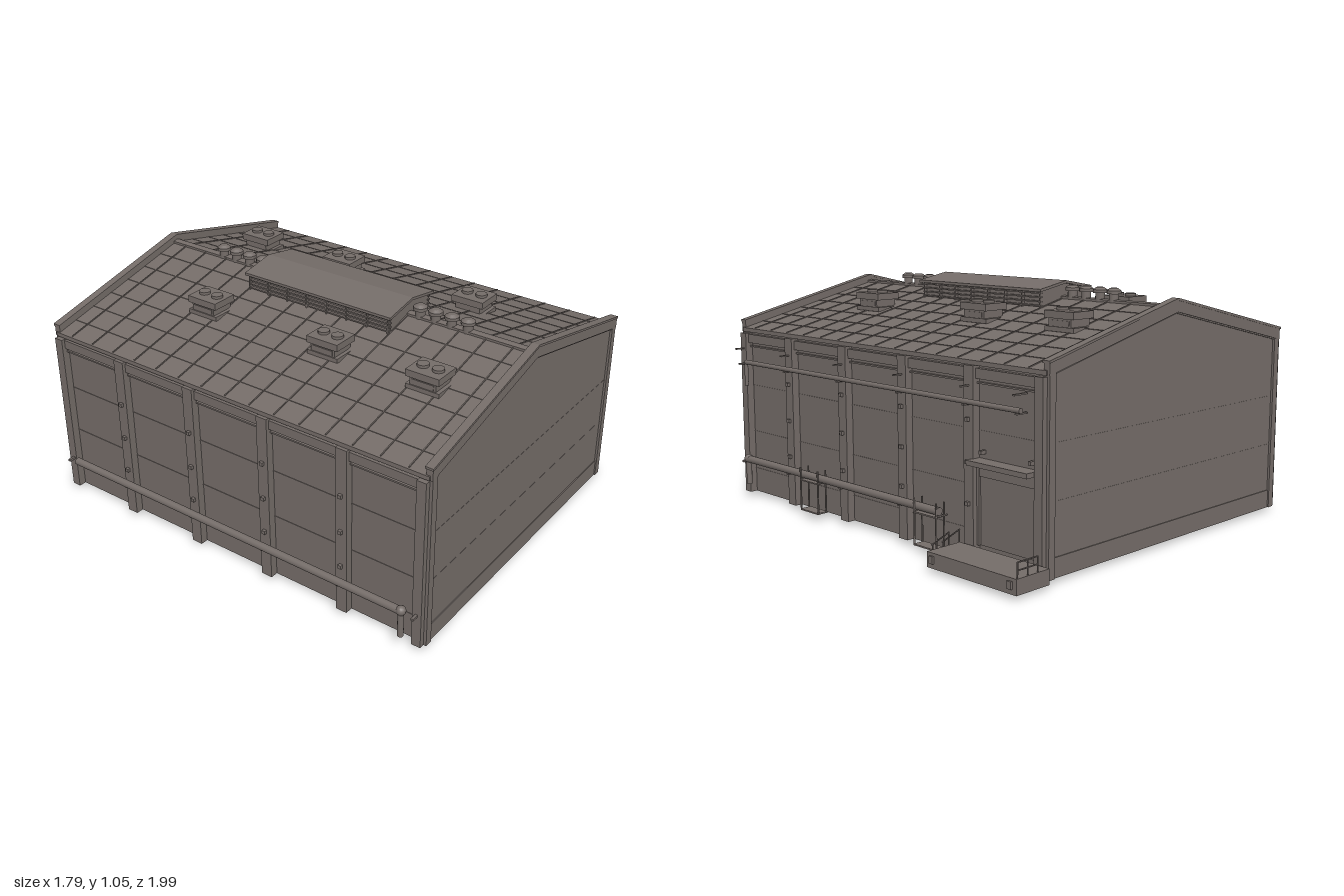
import * as THREE from 'three';

const CX = -0.07;        // ridge line
const SLOPE = 0.232;     // roof pitch
const Z0 = -0.96, Z1 = 0.975;

export function createModel() {
  const model = new THREE.Group();
  model.name = 'industrialHall';
  const mat = new THREE.MeshStandardMaterial({ color: 0x746c68, side: THREE.DoubleSide });
  mat.name = 'warm grey';

  const add = (name, geo, x = 0, y = 0, z = 0) => {
    const m = new THREE.Mesh(geo, mat);
    m.name = name;
    m.position.set(x, y, z);
    model.add(m);
    return m;
  };
  // box from its limits
  const box = (name, x0, x1, y0, y1, z0, z1) =>
    add(name, new THREE.BoxGeometry(Math.abs(x1 - x0), y1 - y0, Math.abs(z1 - z0)),
      (x0 + x1) / 2, (y0 + y1) / 2, (z0 + z1) / 2);
  const cyl = (name, r0, r1, h, x, y, z, n = 12) => add(name, new THREE.CylinderGeometry(r0, r1, h, n), x, y, z);
  // straight rod between two points
  const rod = (name, a, b, r, n = 6) => {
    const p = new THREE.Vector3(...a), d = new THREE.Vector3(...b).sub(p);
    const m = add(name, new THREE.CylinderGeometry(r, r, d.length(), n));
    m.position.copy(p).addScaledVector(d, 0.5);
    m.quaternion.setFromUnitVectors(new THREE.Vector3(0, 1, 0), d.normalize());
    return m;
  };
  const extrude = (name, pts, z0, z1) => add(name, new THREE.ExtrudeGeometry(
    new THREE.Shape(pts.map(p => new THREE.Vector2(...p))), { depth: z1 - z0, bevelEnabled: false }), 0, 0, z0);
  // roof-shaped band: ridge height, half width, thickness
  const chevron = (name, ridge, hw, t, z0, z1, slope = SLOPE) => {
    const e = ridge - hw * slope;
    return extrude(name, [[CX - hw, e - t], [CX, ridge - t], [CX + hw, e - t], [CX + hw, e], [CX, ridge], [CX - hw, e]], z0, z1);
  };
  const roofY = x => 0.98 - SLOPE * Math.abs(x - CX);
  const sideX = (s, d) => CX + s * (0.75 + d);
  const columns = [0.595, 0.21, -0.18, -0.57];
  const seams = [0.13, 0.31, 0.53];

  // gable ends with coping, plinth, corner columns and panel seams
  for (const [f, out] of [[Z1, 1], [Z0, -1]]) {
    const span = (a, b) => [Math.min(f + out * a, f + out * b), Math.max(f + out * a, f + out * b)];
    const e = 0.965 - 0.75 * SLOPE;
    extrude('gableWall', [[CX - 0.74, 0.02], [CX + 0.74, 0.02], [CX + 0.74, e], [CX, 0.965], [CX - 0.74, e]], ...span(-0.02, 0));
    chevron('gableCoping', 1.012, 0.757, 0.052, ...span(-0.018, 0.011));
    chevron('copingCap', 1.016, 0.76, 0.01, ...span(-0.022, 0.014));
    chevron('copingTrim', 0.962, 0.74, 0.008, ...span(0, 0.006));
    box('gablePlinth', CX - 0.72, CX + 0.72, 0.02, 0.10, ...span(0, 0.004));
    for (const y of seams.slice(1)) box('gableSeam', CX - 0.72, CX + 0.72, y, y + 0.004, ...span(0, 0.001));
    for (const s of [-1, 1]) {
      box('cornerColumn', sideX(s, -0.03), sideX(s, 0.004), 0.02, 0.80, ...span(-0.045, 0.01));
      box('cornerPilaster', sideX(s, -0.01), sideX(s, 0.027), 0.02, 0.78, ...span(-0.045, -0.003));
    }
  }

  // side walls, pilasters, bolts and eave beams
  for (const s of [-1, 1]) {
    box('sideWall', sideX(s, -0.03), sideX(s, -0.008), 0.02, 0.80, Z0, Z1);
    box('eaveBeam', sideX(s, -0.01), sideX(s, 0.012), 0.735, 0.775, Z0 + 0.03, Z1 - 0.03);
    box('eaveRail', sideX(s, -0.01), sideX(s, 0.004), 0.715, 0.722, Z0 + 0.03, Z1 - 0.03);
    for (const y of seams) box('sideSeam', sideX(s, -0.009), sideX(s, -0.006), y, y + 0.004, Z0, Z1);
    for (const z of columns) {
      box('pilaster', sideX(s, -0.01), sideX(s, 0.027), 0.02, 0.785, z - 0.026, z + 0.026);
      for (const y of [0.245, 0.41, 0.577])
        box('pilasterBolt', sideX(s, 0.02), sideX(s, 0.04), y - 0.008, y + 0.008, z - 0.008, z + 0.008);
    }
  }

  // roof with raised panel seams and ridge cap
  chevron('roof', 0.98, 0.762, 0.018, Z0, Z1);
  for (let z = -0.87; z < 0.95; z += 0.125) chevron('roofSeam', 0.984, 0.755, 0.005, z, z + 0.005);
  for (const s of [-1, 1])
    for (let i = 1; i < 7; i++) {
      const x = CX + s * i * 0.11;
      box('roofLap', x - 0.002, x + 0.002, roofY(x) - 0.004, roofY(x) + 0.002, Z0, Z1);
    }
  chevron('ridgeCap', 0.99, 0.018, 0.012, Z0, Z1);

  // ridge monitor with louvred sides
  box('monitorBody', CX - 0.14, CX + 0.14, 0.93, 1.02, -0.36, 0.38);
  chevron('monitorRoof', 1.055, 0.165, 0.012, -0.375, 0.395, 0.18);
  extrude('monitorGable', [[CX - 0.14, 1.01], [CX + 0.14, 1.01], [CX + 0.14, 1.02], [CX, 1.045], [CX - 0.14, 1.02]], -0.36, 0.38);
  for (const s of [-1, 1]) {
    for (let i = 0; i < 4; i++)
      box('monitorLouvre', CX + s * 0.138, CX + s * 0.152, 0.95 + i * 0.018, 0.956 + i * 0.018, -0.365, 0.385);
    for (let i = 0; i < 8; i++) {
      const z = -0.36 + i * 0.105;
      box('monitorPost', CX + s * 0.138, CX + s * 0.155, 0.94, 1.022, z - 0.003, z + 0.003);
    }
  }

  // round ridge ventilators
  for (const z of [0.665, 0.588, 0.51, 0.435, -0.41, -0.488, -0.565, -0.64]) {
    cyl('ventStem', 0.021, 0.021, 0.05, CX, 0.992, z);
    cyl('ventCap', 0.031, 0.031, 0.014, CX, 1.02, z);
    cyl('ventTop', 0.016, 0.031, 0.01, CX, 1.032, z);
  }

  // rooftop ventilation units
  const units = [[0.268, -0.69], [0.268, -0.205], [0.268, 0.495], [-0.412, -0.42], [-0.412, 0.225], [-0.412, 0.705]];
  for (const [x, z] of units) {
    const s = Math.sign(x - CX);
    box('unitBase', x - 0.055, x + 0.055, 0.88, 0.945, z - 0.06, z + 0.06);
    box('unitHood', x - 0.062, x + 0.062, 0.942, 0.972, z - 0.077, z + 0.077);
    box('unitCurb', x - 0.06, x + 0.06 , 0.89, roofY(x) + 0.008, z - 0.077, z + 0.077);
    for (const dz of [-0.035, 0.035]) cyl('unitFan', 0.025, 0.025, 0.012, x, 0.978, z + dz);
    box('unitGrille', x + s * 0.055, x + s * 0.058, 0.915, 0.935, z - 0.05, z + 0.05);
  }

  // upper pipe on the left wall, with brackets
  const upX = 0.729;
  rod('upperPipe', [upX, 0.65, 0.9], [upX, 0.65, -0.87], 0.011, 10);
  rod('upperPipeDrop', [upX, 0.655, 0.9], [upX, 0.54, 0.9], 0.009, 10);
  for (const z of [0.95, ...columns, -0.85]) {
    box('pipeBracket', 0.68, 0.75, 0.705, 0.711, z - 0.006, z + 0.006);
    box('pipeArm', 0.68, 0.735, 0.633, 0.639, z - 0.006, z + 0.006);
  }

  // lower pipes along both walls, with end drops and brackets
  for (const [x, wall, end] of [[0.732, 0.70, -0.43], [-0.878, -0.84, -0.87]]) {
    rod('lowerPipe', [x, 0.19, 0.9], [x, 0.19, end], 0.017, 12);
    rod('lowerPipeDrop', [x, 0.19, 0.9], [x, 0.07, 0.9], 0.013, 12);
    add('pipeElbow', new THREE.SphereGeometry(0.021, 12, 8), x, 0.192, 0.9);
    for (const z of [0.95, ...columns, -0.93].filter(z => z > end - 0.1))
      box('lowerBracket', wall, x, 0.165, 0.175, z - 0.006, z + 0.006);
  }

  // small crossing frames over the lower pipe
  for (const [za, zb] of [[0.34, 0.465], [-0.43, -0.30]]) {
    for (const x of [0.708, 0.75])
      for (const z of [za, zb]) rod('framePost', [x, 0.03, z], [x, 0.225, z], 0.004);
    for (const z of [za, zb]) rod('frameTie', [0.69, 0.17, z], [0.75, 0.17, z], 0.004);
    box('frameDeck', 0.70, 0.755, 0.165, 0.171, za, zb);
    box('frameStep', 0.70, 0.755, 0.03, 0.036, za, zb);
  }

  // loading door with canopy and lamps
  box('door', 0.67, 0.678, 0.08, 0.36, -0.895, -0.605);
  for (const z of [-0.602, -0.905]) box('doorJamb', 0.67, 0.688, 0.08, 0.41, z - 0.006, z + 0.006);
  box('doorLintel', 0.67, 0.684, 0.355, 0.41, -0.9, -0.6);
  box('doorCanopy', 0.67, 0.74, 0.405, 0.425, -0.91, -0.59);
  for (const z of [-0.625, -0.885]) box('doorLamp', 0.67, 0.70, 0.445, 0.46, z - 0.007, z + 0.007);

  // loading platform, hollow underneath
  box('platformDeck', 0.712, 0.885, 0.07, 0.082, -1, -0.525);
  for (const x of [0.712, 0.877]) box('platformSide', x, x + 0.008, 0.02, 0.072, -1, -0.525);
  for (const z of [-1, -0.533]) box('platformEnd', 0.712, 0.885, 0.02, 0.072, z, z + 0.008);
  for (const z of [-0.97, -0.555]) box('platformBumper', 0.885, 0.894, 0.04, 0.07, z - 0.01, z + 0.01);

  // guard rail at the far end of the platform
  for (const x of [0.77, 0.823, 0.876]) rod('railPost', [x, 0.08, -0.996], [x, 0.143, -0.996], 0.003);
  for (const y of [0.112, 0.142]) rod('guardRail', [0.77, y, -0.996], [0.876, y, -0.996], 0.003);

  // steps up to the platform
  for (let i = 0; i < 4; i++) {
    const z = -0.425 - i * 0.026, y = 0.012 + i * 0.018;
    box('stairTread', 0.716, 0.768, y, y + 0.005, z - 0.024, z);
  }
  for (const x of [0.714, 0.77]) {
    rod('stairStringer', [x, 0.004, -0.415], [x, 0.076, -0.527], 0.004);
    rod('stairRail', [x, 0.06, -0.425], [x, 0.135, -0.527], 0.003);
    for (const [y, z] of [[0.012, -0.43], [0.074, -0.524]])
      rod('stairPost', [x, y, z], [x, y + 0.055, z], 0.003);
  }
  return model;
}
